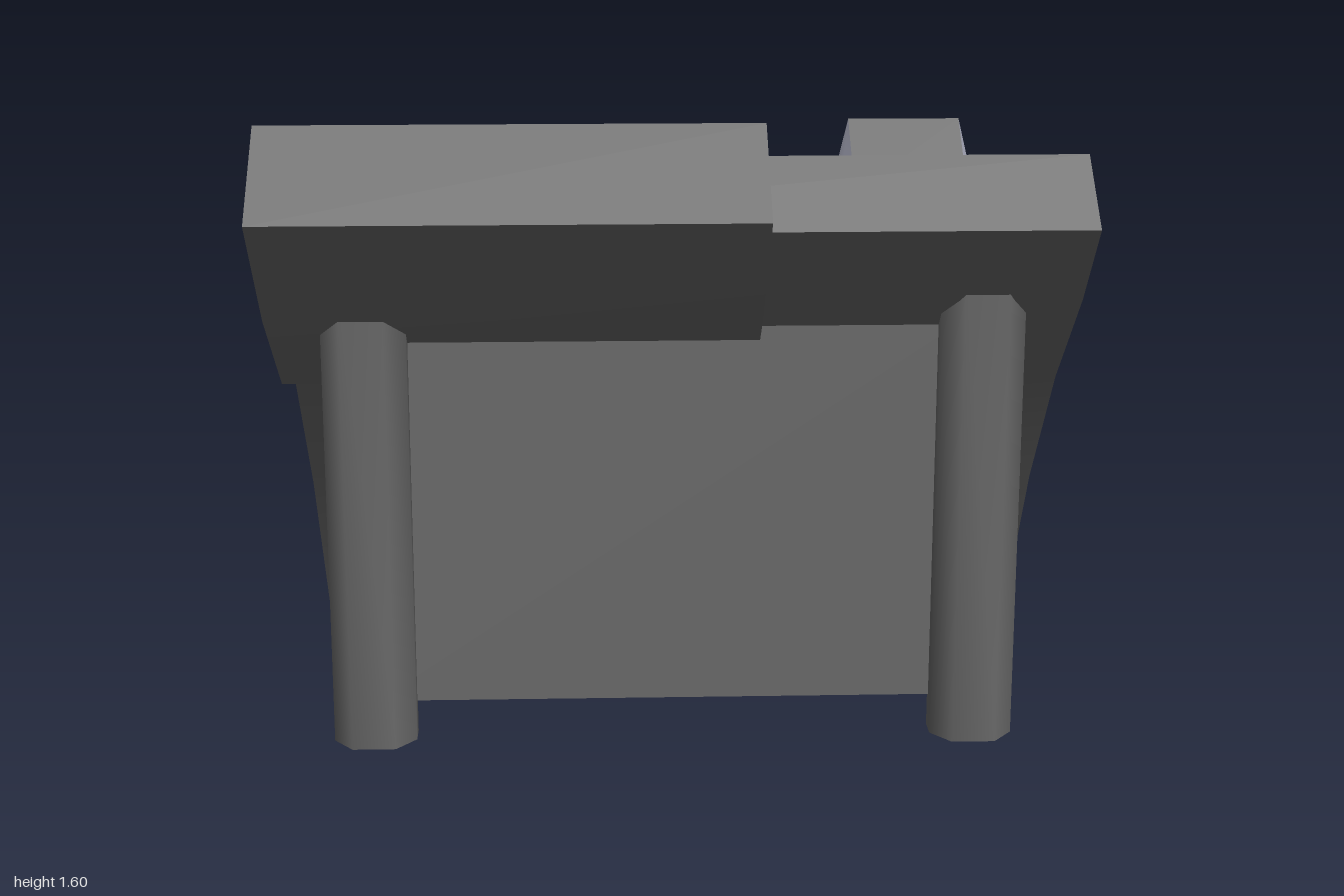
import * as THREE from 'three';
import { toCreasedNormals } from 'three/addons/utils/BufferGeometryUtils.js';
import { ConvexGeometry } from 'three/addons/geometries/ConvexGeometry.js';

const paint = (color) => new THREE.MeshStandardMaterial({ color, side: THREE.DoubleSide });

const polygon = (points) => new THREE.Shape(points.map(([a, b]) => new THREE.Vector2(a, b)));

// Side profile of [z, y] points, extruded from x0 to x1
function prism(profile, x0, x1) {
  const geo = new THREE.ExtrudeGeometry(polygon(profile), { depth: x1 - x0, bevelEnabled: false });
  geo.rotateY(-Math.PI / 2).translate(x1, 0, 0);
  return toCreasedNormals(geo, 0.65);
}

// Surface spanning two matching rows of [x, y, z] points
function ribbon(a, b) {
  const pos = [];
  for (let i = 0; i < a.length - 1; i++) {
    pos.push(...a[i], ...b[i], ...b[i + 1], ...a[i], ...b[i + 1], ...a[i + 1]);
  }
  const geo = new THREE.BufferGeometry();
  geo.setAttribute('position', new THREE.Float32BufferAttribute(pos, 3));
  geo.computeVertexNormals();
  return toCreasedNormals(geo, 0.65);
}

// Upper surface of the slab, as [z, y], from the low back edge to the top
const slabTop = [[-0.71, 0.15], [-0.39, 0.69], [-0.09, 1.055], [0.425, 1.515]];

function slabHeight(z) {
  let i = 0;
  while (i < slabTop.length - 2 && z > slabTop[i + 1][0]) i++;
  const [[z0, y0], [z1, y1]] = [slabTop[i], slabTop[i + 1]];
  return y0 + ((z - z0) * (y1 - y0)) / (z1 - z0);
}

// Upper surface of the screen housing
const housingHeight = (z) => 1.2 + 0.8463 * z;

// Rectangle with cut corners; low is the side towards -y of the shape
function cutRect(w, h, cut, cx = 0, cy = 0) {
  return [[-w, -h + cut], [-w + cut, -h], [w - cut, -h], [w, -h + cut],
    [w, h - cut], [w - cut, h], [-w + cut, h], [-w, h - cut]].map(([x, y]) => [x + cx, y + cy]);
}

// Plate whose upper face runs along the slope from (z0, y0) to (z1, y1)
function plate(x0, x1, z0, y0, z1, y1, thick, cut, hole) {
  const shape = polygon(cutRect((x1 - x0) / 2, Math.hypot(z1 - z0, y1 - y0) / 2, cut));
  if (hole) shape.holes.push(polygon(hole));
  const geo = new THREE.ExtrudeGeometry(shape, { depth: thick, bevelEnabled: false });
  geo.translate(0, 0, -thick).rotateX(Math.atan2(z0 - z1, y0 - y1));
  geo.translate((x0 + x1) / 2, (y0 + y1) / 2, (z0 + z1) / 2);
  return geo;
}

export function createModel() {
  const model = new THREE.Group();
  const grey = paint(0x686868);
  const pale = paint(0xc0c2d6);
  const cyan = paint(0x7fe5e0);
  const add = (name, geo, material, parent = model) => {
    const mesh = new THREE.Mesh(geo, material);
    mesh.name = name;
    parent.add(mesh);
  };

  // Sloping slab, gently bent
  add('slab', prism([...slabTop, [0.603, 1.363], [0.42, 1.155], [0.119, 0.883], [-0.187, 0.522], [-0.525, 0]],
    -0.965, 1), grey);

  // Wedge beneath the slab, its sides running into the legs
  add('base', prism([[0.33, 0.09], [0.33, 1.11], [0.1, 0.93], [-0.2, 0.56], [-0.48, 0.09]],
    -0.76, 0.76), grey);

  // Eight-sided legs
  const legShape = polygon([[-0.105, -0.03], [-0.055, -0.0925], [0.055, -0.0925], [0.105, -0.03],
    [0.105, 0.03], [0.055, 0.0925], [-0.055, 0.0925], [-0.105, 0.03]]);
  for (const side of [-1, 1]) {
    const geo = new THREE.ExtrudeGeometry(legShape, { depth: 1.2, bevelEnabled: false });
    geo.rotateX(-Math.PI / 2).translate(side * 0.765, 0, 0.342);
    add(side > 0 ? 'leftLeg' : 'rightLeg', toCreasedNormals(geo, 1.1), grey);
  }

  // Screen housing; a groove across it takes the frame around the sunken screen
  add('screenHousing', prism([[-0.09, 1.05], [0, 1.2], [0.02, 1.217], [0.036, 1.198], [0.426, 1.528],
    [0.41, 1.547], [0.475, 1.602], [0.71, 1.405], [0.44, 1.12], [0.119, 0.88]], -1, 0.215), grey);
  const opening = cutRect(0.385, 0.223, 0.075, -0.0025, 0.0033);
  add('screenFrame', plate(-1, 0.215, 0.02, housingHeight(0.02), 0.41, housingHeight(0.41),
    0.025, 0, opening), grey);
  add('screen', plate(-0.8, 0.01, 0.045, housingHeight(0.045) - 0.028, 0.41, housingHeight(0.41) - 0.028,
    0.003, 0), cyan);

  // Tongue running from the housing down onto the slab
  const tongue = [[-0.73, 1.06, -0.088], [-0.02, 1.06, -0.088], [-0.61, 1.0, -0.14], [-0.14, 1.0, -0.14],
    [-0.64, 1.2, 0], [-0.11, 1.2, 0], [-0.4, 1.05, 0.05]];
  add('housingTongue', new ConvexGeometry(tongue.map((p) => new THREE.Vector3(...p))), grey);

  // Three rows of three keys, slightly lifted along their lower edge
  const keys = new THREE.Group();
  keys.name = 'keys';
  model.add(keys);
  const columns = [-0.88, -0.56, -0.19, 0.13];
  for (const [z0, z1, lift] of [[-0.6, -0.51, 0.04], [-0.47, -0.34, 0.04], [-0.3, -0.195, 0.02]]) {
    for (let i = 0; i < 3; i++) {
      add('key', plate(columns[i], columns[i + 1], z0, slabHeight(z0) + lift, z1, slabHeight(z1) + 0.02,
        0.04, 0.012), pale, keys);
    }
  }

  // Shallow cradle on the slab below the handset
  const cx = 0.59;
  const cradle = [[-0.65, 0.1], [-0.55, 0.21], [-0.39, 0.21], [-0.09, 0.21], [0.24, 0.21], [0.35, 0.1]];
  const cradleEdge = (s) => cradle.map(([z, w]) => [cx + s * w, slabHeight(z) + 0.006, z]);
  add('cradle', ribbon(cradleEdge(-1), cradleEdge(1)), grey);
  const stripZ = [-0.42, -0.39, -0.09, 0.2];
  add('cradleStrip', ribbon(stripZ.map((z) => [0.385, slabHeight(z) + 0.01, z]),
    stripZ.map((z) => [0.43, slabHeight(z) + 0.045, z])), pale);

  // Handset: grey outer band, pale flared sides, grey core
  const handset = new THREE.Group();
  handset.name = 'handset';
  model.add(handset);
  const outer = [[0.28, 1.40], [0.093, 1.554], [-0.153, 1.329], [-0.6, 0.79], [-0.688, 0.548], [-0.59, 0.36]];
  const inner = [[0.2, 1.31], [0.1, 1.41], [-0.068, 1.257], [-0.51, 0.735], [-0.572, 0.552], [-0.52, 0.46]];
  const row = (path, x) => path.map(([z, y]) => [x, y, z]);
  add('handsetBack', ribbon(row(outer, cx - 0.14), row(outer, cx + 0.14)), grey, handset);
  for (const s of [-1, 1]) {
    const edges = [row(outer, cx + s * 0.14), row(inner, cx + s * 0.175)];
    add('handsetSide', s > 0 ? ribbon(...edges) : ribbon(...edges.reverse()), pale, handset);
  }
  add('handsetCore', prism(inner, cx - 0.165, cx + 0.165), grey, handset);

  return model;
}
